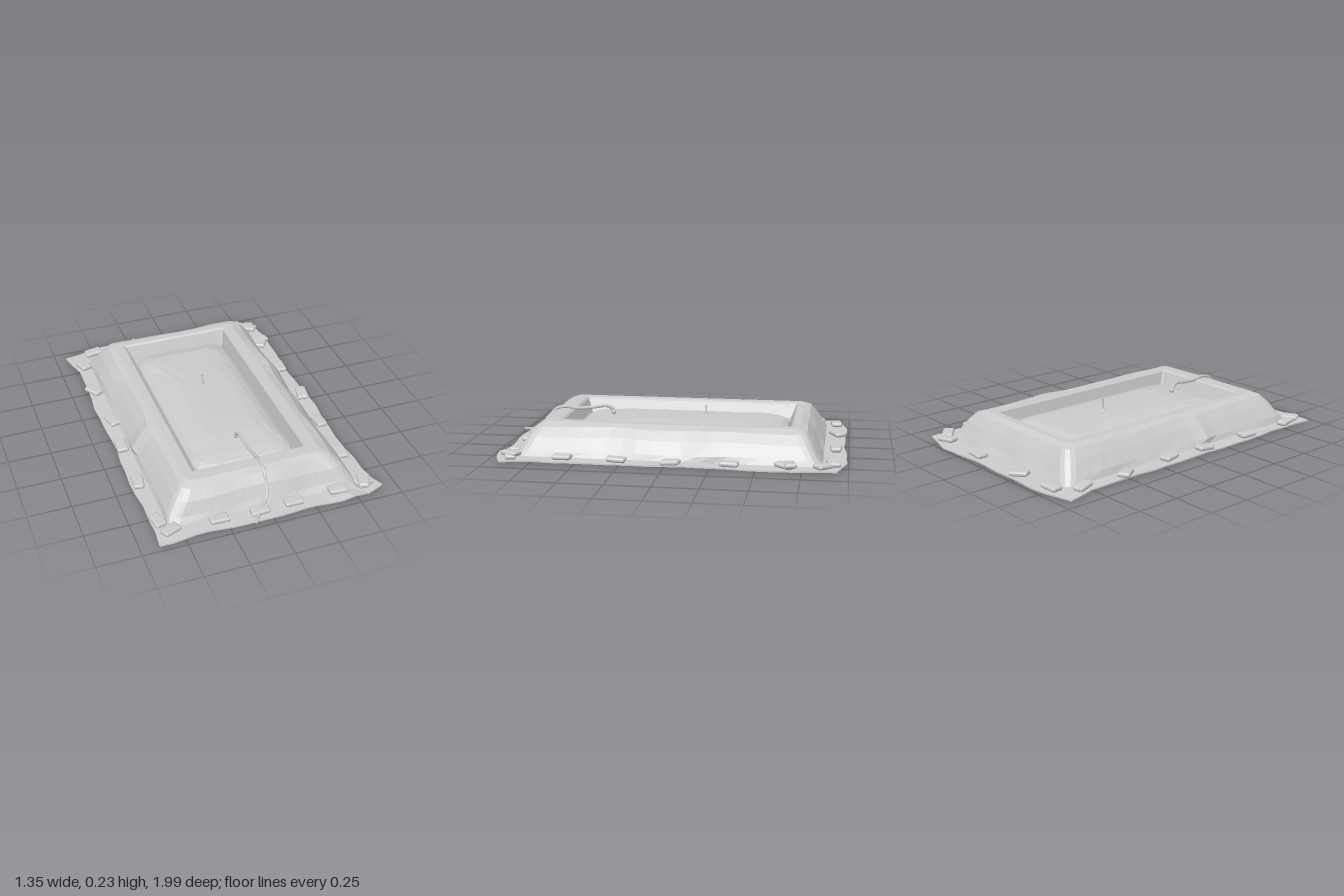
import * as THREE from 'three';
import { RoundedBoxGeometry } from 'three/addons/geometries/RoundedBoxGeometry.js';

const cloth = new THREE.MeshStandardMaterial({ color: 0xcccccc, flatShading: true, side: THREE.DoubleSide });
const solid = new THREE.MeshStandardMaterial({ color: 0xcccccc });

// rounded rectangle ring; every ring has the same number of points
function ring(x0, x1, z0, z1, y, r, warp) {
  const pts = [], seg = 18, arc = 3;
  const centres = [[x1 - r, z1 - r], [x0 + r, z1 - r], [x0 + r, z0 + r], [x1 - r, z0 + r]];
  const corner = (k, i) => {
    const a = (k + i / arc) * Math.PI / 2;
    return new THREE.Vector3(centres[k][0] + r * Math.cos(a), y, centres[k][1] + r * Math.sin(a));
  };
  for (let k = 0; k < 4; k++) {
    for (let i = 0; i <= arc; i++) pts.push(corner(k, i));
    const a = corner(k, arc), b = corner((k + 1) % 4, 0);
    for (let i = 1; i < seg; i++) pts.push(a.clone().lerp(b, i / seg));
  }
  if (warp) pts.forEach(warp);
  return pts;
}

// skin between consecutive rings, closed at the last one
function skin(rings) {
  const n = rings[0].length, pos = [], idx = [];
  rings.forEach(r => r.forEach(p => pos.push(p.x, p.y, p.z)));
  for (let j = 0; j < rings.length - 1; j++) {
    for (let i = 0; i < n; i++) {
      const a = j * n + i, b = j * n + (i + 1) % n;
      idx.push(a, a + n, b, b, a + n, b + n);
    }
  }
  const last = (rings.length - 1) * n, c = new THREE.Vector3();
  rings[rings.length - 1].forEach(p => c.addScaledVector(p, 1 / n));
  pos.push(c.x, c.y, c.z);
  for (let i = 0; i < n; i++) idx.push(last + i, last + n, last + (i + 1) % n);
  const g = new THREE.BufferGeometry();
  g.setAttribute('position', new THREE.Float32BufferAttribute(pos, 3));
  g.setIndex(idx);
  g.computeVertexNormals();
  return g;
}

const bump = (v, c, w) => Math.exp(-(((v - c) / w) ** 2));

// ragged sheet edge with pulled corners and a lifted fold
function ragged(p) {
  const { x, z } = p;
  p.x += 0.008 * Math.sin(9 * z + 1) + 0.004 * Math.sin(23 * z);
  p.z += 0.006 * Math.sin(11 * x + 2) + 0.004 * Math.sin(19 * x);
  p.x += 0.05 * bump(x, 0.63, 0.1) * bump(z, 0.95, 0.08) - 0.035 * bump(x, -0.65, 0.1) * bump(z, -0.97, 0.1);
  p.z += 0.04 * bump(x, -0.65, 0.1) * bump(z, -0.97, 0.1) + 0.04 * bump(x, 0.63, 0.1) * bump(z, -0.97, 0.1)
    - 0.05 * bump(x, 0.64, 0.06) * bump(z, 0.95, 0.08);
  p.z -= 0.02 * bump(x, 0.41, 0.06) * bump(z, -0.97, 0.1);
  p.y += 0.003 * Math.sin(13 * x + 7 * z) + 0.015 * bump(x, 0.47, 0.05) * bump(z, 0.95, 0.1);
}

// creases on the sloping sides
function creased(p) {
  const { x, z } = p, side = Math.sign(x);
  const folds = 0.02 * bump(z, 0.18, 0.05) * (x < -0.4) + 0.015 * bump(z, -0.22, 0.06) * (x > 0.4)
    - 0.012 * bump(z, 0.3, 0.1) * (x > 0.4) - 0.012 * bump(z, -0.1, 0.12) * (x < -0.4);
  p.x += side * folds + 0.003 * Math.sin(14 * z);
  p.z += 0.004 * Math.sin(16 * x);
  p.y += 0.004 * Math.sin(10 * (x + z));
}

export function createModel() {
  const group = new THREE.Group();
  const add = (name, geo, mat, parent = group) => {
    const m = new THREE.Mesh(geo, mat);
    m.name = name;
    parent.add(m);
    return m;
  };

  // sheet: ragged skirt, sloping sides, flat rim, tapering inner walls and a bottom deeper at the back
  const tilt = p => { p.y += 0.07 * p.z; };
  add('groundSheet', skin([
    ring(-0.645, 0.62, -0.98, 0.96, 0.006, 0.005, ragged),
    ring(-0.645, 0.62, -0.98, 0.96, 0.014, 0.005, ragged),
    ring(-0.56, 0.54, -0.86, 0.86, 0.018, 0.05),
    ring(-0.545, 0.525, -0.84, 0.84, 0.05, 0.06, creased),
    ring(-0.495, 0.48, -0.8, 0.805, 0.12, 0.06, creased),
    ring(-0.45, 0.43, -0.765, 0.765, 0.17, 0.05, creased),
    ring(-0.41, 0.375, -0.725, 0.72, 0.188, 0.04),
    ring(-0.36, 0.315, -0.685, 0.65, 0.188, 0.005),
    ring(-0.345, 0.305, -0.675, 0.638, 0.178, 0.005),
    ring(-0.312, 0.29, -0.645, 0.607, 0.1, 0.01),
    ring(-0.295, 0.285, -0.61, 0.6, 0.046, 0.01, tilt),
  ]), cloth);

  // pillowed filling of the basin with rounded corners and soft dents
  const dents = p => { p.y -= 0.006 * bump(p.z, -0.36, 0.05) + 0.008 * bump(p.z, 0.45, 0.06); };
  add('basinFilling', skin([
    ring(-0.31, 0.287, -0.645, 0.607, 0.09, 0.1),
    ring(-0.303, 0.28, -0.637, 0.6, 0.108, 0.1),
    ring(-0.275, 0.25, -0.605, 0.565, 0.128, 0.09),
    ring(-0.225, 0.205, -0.54, 0.5, 0.146, 0.06, dents),
    ring(-0.16, 0.145, -0.4, 0.345, 0.157, 0.04, dents),
    ring(-0.08, 0.07, -0.22, 0.2, 0.16, 0.03),
  ]), cloth);

  // stones weighing down the skirt: x, z, turn, optional lift
  const stones = new THREE.Group();
  stones.name = 'stones';
  group.add(stones);
  const places = [
    [-0.505, -0.925, 0.1], [-0.24, -0.93, 0.55], [0.15, -0.925, 0], [0.475, -0.91, 0.2], [0.555, -0.86, -0.7],
    [-0.605, -0.79, 1.9], [-0.615, -0.495, 2.1], [-0.59, -0.155, 1.8], [-0.605, 0.1, 1.55], [-0.605, 0.45, 1.45],
    [-0.6, 0.79, 1.8], [-0.56, 0.885, 0.4], [-0.29, 0.885, 0], [-0.06, 0.895, 0], [0.14, 0.89, 0.05],
    [0.41, 0.885, -0.1], [0.575, 0.88, 0.3], [0.57, 0.875, 1.2, 0.012], [0.565, -0.66, 1.0], [0.57, -0.69, 0.2, 0.006],
    [0.575, -0.355, 1.55], [0.595, -0.035, 1.4], [0.58, 0.27, 1.6], [0.57, 0.58, 1.55],
  ];
  places.forEach(([x, z, turn, lift = 0], i) => {
    const g = new RoundedBoxGeometry(0.108, 0.028, 0.066, 3, 0.013);
    const p = g.attributes.position;
    for (let k = 0; k < p.count; k++) {
      const px = p.getX(k);
      p.setZ(k, p.getZ(k) * (1 + 2 * px * Math.sin(i * 2.3)) + 3 * px * px * Math.cos(i));
    }
    g.computeVertexNormals();
    const s = add('stone', g, solid, stones);
    s.position.set(x, 0.03 + lift, z);
    s.rotation.set(0.05 * Math.sin(i), turn, 0.06 * Math.cos(i * 3));
  });

  // cord running from the basin over the rim to the ground
  const path = [
    [-0.015, 0.16, 0.405], [-0.013, 0.19, 0.415], [-0.008, 0.206, 0.45], [0, 0.196, 0.53], [0.01, 0.19, 0.62],
    [0.015, 0.198, 0.7], [0.015, 0.18, 0.76], [0.012, 0.1, 0.815], [-0.005, 0.055, 0.85], [-0.06, 0.035, 0.91],
    [-0.12, 0.022, 0.99],
  ].map(p => new THREE.Vector3(...p));
  add('cord', new THREE.TubeGeometry(new THREE.CatmullRomCurve3(path), 60, 0.01, 6), solid);
  add('cordEnd', new THREE.SphereGeometry(0.014, 8, 6), solid).position.set(-0.014, 0.168, 0.406);

  // small upright peg in the basin
  const peg = new THREE.Group();
  peg.name = 'peg';
  peg.position.set(-0.015, 0, -0.155);
  group.add(peg);
  add('pegStem', new THREE.CylinderGeometry(0.004, 0.005, 0.07, 8), solid, peg).position.y = 0.192;
  add('pegFoot', new THREE.CylinderGeometry(0.007, 0.014, 0.014, 8), solid, peg).position.y = 0.165;
  const tip = add('pegTip', new THREE.CylinderGeometry(0.004, 0.004, 0.02, 6), solid, peg);
  tip.position.set(0, 0.226, 0);
  tip.rotation.z = 1.2;

  return group;
}
